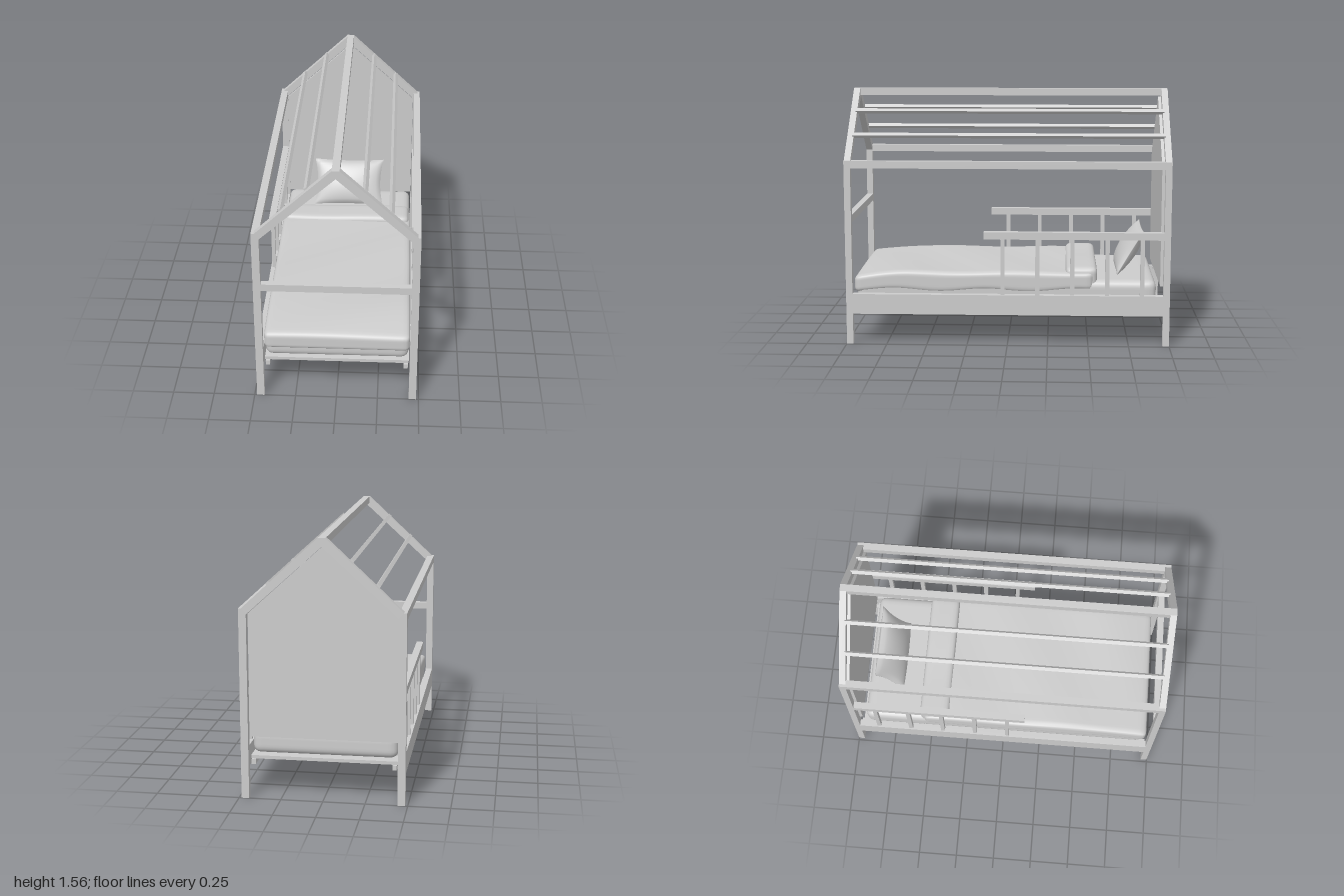
import * as THREE from 'three';
import { mergeVertices } from 'three/addons/utils/BufferGeometryUtils.js';

const grey = new THREE.MeshStandardMaterial({ color: 0xcccccc });
grey.name = 'paleGrey';

export function createModel() {
  const model = new THREE.Group();
  model.name = 'houseBed';

  const add = (name, geometry) => {
    const mesh = new THREE.Mesh(geometry, grey);
    mesh.name = name;
    model.add(mesh);
    return mesh;
  };
  // Box given by its limits on each axis
  const bar = (name, x0, x1, y0, y1, z0, z1) => {
    const mesh = add(name, new THREE.BoxGeometry(x1 - x0, y1 - y0, z1 - z0));
    mesh.position.set((x0 + x1) / 2, (y0 + y1) / 2, (z0 + z1) / 2);
    return mesh;
  };
  const polygon = (points) => new THREE.Shape(points.map(([x, y]) => new THREE.Vector2(x, y)));
  const slab = (name, points, depth, z) => {
    const mesh = add(name, new THREE.ExtrudeGeometry(polygon(points), { depth, bevelEnabled: false }));
    mesh.position.z = z;
    return mesh;
  };
  // Weld a geometry and give it smooth normals
  const smooth = (geometry) => {
    geometry.deleteAttribute('normal');
    geometry.deleteAttribute('uv');
    const welded = mergeVertices(geometry, 1e-5);
    welded.computeVertexNormals();
    return welded;
  };
  // Finely divided box with rounded edges, then shifted by an optional rule
  const softBox = (name, x, y0, y1, z0, z1, r, rule) => {
    const size = [2 * x, y1 - y0, z1 - z0];
    const geometry = new THREE.BoxGeometry(...size, 40, 10, Math.ceil(size[2] * 45));
    const inner = new THREE.Vector3(...size).multiplyScalar(0.5).subScalar(r);
    const p = new THREE.Vector3(), core = new THREE.Vector3();
    const pos = geometry.attributes.position;
    for (let i = 0; i < pos.count; i++) {
      p.fromBufferAttribute(pos, i);
      core.copy(p).clamp(inner.clone().negate(), inner);
      p.sub(core).setLength(r).add(core);
      p.y += (y0 + y1) / 2;
      p.z += (z0 + z1) / 2;
      if (rule) rule(p);
      pos.setXYZ(i, p.x, p.y, p.z);
    }
    return add(name, smooth(geometry));
  };

  // House-shaped end frames
  const frame = [[-0.485, 0], [-0.44, 0], [-0.44, 1.11], [0, 1.51], [0.44, 1.11], [0.44, 0], [0.485, 0],
    [0.485, 1.145], [0.468, 1.145], [0.022, 1.56], [-0.022, 1.56], [-0.468, 1.145], [-0.485, 1.145]];
  slab('frontFrame', frame, 0.04, 0.96);
  slab('backFrame', frame, 0.04, -1);
  bar('footCrossbar', -0.44, 0.44, 0.76, 0.805, 0.96, 1);

  // Solid headboard filling the back gable
  slab('headboard', [[-0.438, 0.37], [0.438, 0.37], [0.438, 1.108], [0, 1.507], [-0.438, 1.108]], 0.02, -0.962);

  // Roof beams
  bar('ridgeBeam', -0.022, 0.022, 1.515, 1.56, -0.999, 0.999);
  for (const s of [-1, 1]) {
    const side = (name, x0, x1, ...rest) => bar(name, Math.min(s * x0, s * x1), Math.max(s * x0, s * x1), ...rest);
    side('eaveBeam', 0.44, 0.485, 1.1, 1.145, -0.999, 0.999);
    for (const [x, y] of [[0.315, 1.286], [0.165, 1.425]]) {
      const purlin = add('roofPurlin', new THREE.BoxGeometry(0.023, 0.023, 1.94));
      purlin.position.set(s * x, y, 0);
      purlin.rotation.z = -s * 0.75;
    }
    // Side rail, slat support and guard rail
    side('sideRail', 0.442, 0.485, 0.19, 0.315, -0.999, 0.999);
    side('slatSupport', 0.405, 0.43, 0.2, 0.23, -0.96, 0.96);
    side('guardRail', 0.442, 0.485, 0.665, 0.71, -0.96, 0.145);
    for (let i = 0; i < 5; i++) {
      const z = 0.03 - 0.215 * i;
      side('guardBaluster', 0.451, 0.476, 0.315, 0.665, z - 0.013, z + 0.013);
    }
  }

  // Bed slats
  for (let i = 0; i < 13; i++) {
    const z = -0.89 + i * 1.78 / 12;
    bar('bedSlat', -0.435, 0.435, 0.23, 0.25, z - 0.055, z + 0.055);
  }

  // Mattress and bedding
  softBox('mattress', 0.432, 0.252, 0.4, -0.92, 0.94, 0.045);
  softBox('blanket', 0.438, 0.325, 0.452, -0.53, 0.955, 0.03, (p) => {
    const top = (p.y - 0.325) / 0.127;
    const foot = Math.max(0, (p.z - 0.6) / 0.35);
    p.y += top * (0.004 * Math.sin(9 * p.z + 5 * p.x) - 0.03 * foot * foot);
    p.y += (1 - top) * (0.01 * Math.sin(11 * p.z) + 0.015 * Math.max(0, -p.z));
  });
  softBox('blanketFold', 0.425, 0.34, 0.48, -0.555, -0.36, 0.035, (p) => {
    p.y += 0.004 * Math.sin(8 * p.x);
  });

  // Pillow with drawn-out corners, leaning on the headboard
  const pillowGeometry = new THREE.BoxGeometry(2, 2, 2, 28, 20, 1);
  const pos = pillowGeometry.attributes.position;
  for (let i = 0; i < pos.count; i++) {
    const u = pos.getX(i), v = pos.getY(i);
    const puff = Math.pow(Math.max(0, (1 - u * u) * (1 - v * v)), 0.55);
    pos.setXYZ(i, 0.243 * u * (1 - 0.09 * (1 - v * v)), 0.162 * v * (1 - 0.06 * (1 - u * u)),
      pos.getZ(i) * (0.002 + 0.058 * puff));
  }
  const pillow = add('pillow', smooth(pillowGeometry));
  pillow.position.set(0, 0.535, -0.768);
  pillow.rotation.x = -0.54;

  return model;
}
